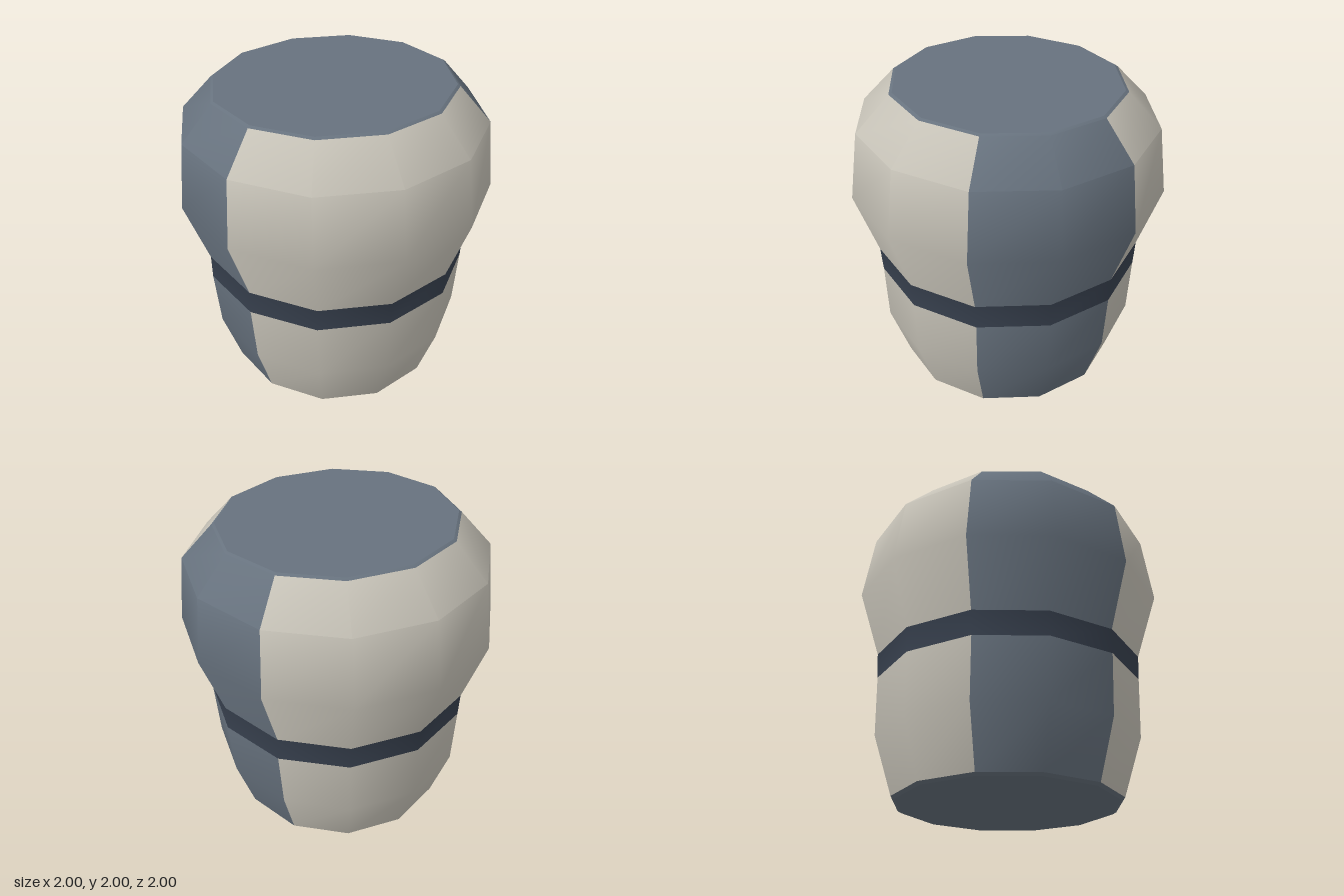
import * as THREE from 'three';
import { toCreasedNormals } from 'three/addons/utils/BufferGeometryUtils.js';

const SIDES = 12;

function material(name, color) {
  const m = new THREE.MeshStandardMaterial({ color });
  m.name = name;
  return m;
}

// One corner of a twelve-sided oval ring [y, x radius, z radius]; corner 0 lies on +x
function corner([y, rx, rz], i) {
  const a = ((i % SIDES) / SIDES) * Math.PI * 2;
  return [rx * Math.cos(a), y, rz * Math.sin(a)];
}

// Wall between stacked rings; pick(row, side) gives the material index of each facet
function wall(rings, materials, pick) {
  const position = rings.flatMap((r) => Array.from({ length: SIDES }, (_, i) => corner(r, i)).flat());
  const buckets = materials.map(() => []);
  for (let row = 0; row < rings.length - 1; row++) {
    for (let i = 0; i < SIDES; i++) {
      const j = (i + 1) % SIDES;
      const a = row * SIDES + i, b = row * SIDES + j;
      buckets[pick(row, i)].push(a, a + SIDES, b, b, a + SIDES, b + SIDES);
    }
  }
  const g = new THREE.BufferGeometry();
  g.setAttribute('position', new THREE.Float32BufferAttribute(position, 3));
  g.setIndex(buckets.flat());
  let start = 0;
  buckets.forEach((b, m) => {
    g.addGroup(start, b.length, m);
    start += b.length;
  });
  return new THREE.Mesh(toCreasedNormals(g, 0.7), materials);
}

// Flat end face on a ring
function cap(ring, mat, up) {
  const points = Array.from({ length: SIDES }, (_, i) => {
    const [x, , z] = corner(ring, i);
    return new THREE.Vector2(x, z);
  });
  const g = new THREE.ShapeGeometry(new THREE.Shape(points));
  g.rotateX(up ? -Math.PI / 2 : Math.PI / 2);
  g.translate(0, ring[0], 0);
  return new THREE.Mesh(g, mat);
}

export function createModel() {
  const group = new THREE.Group();
  const cream = material('cream', 0xc6c2b7);
  const slate = material('slate', 0x67727e);
  const navy = material('navy', 0x38414f);

  const rings = [
    [0.015, 0.715, 0.725],
    [0.38, 0.83, 0.845],
    [0.765, 0.86, 0.855],
    [0.925, 0.86, 0.865],
    [1.34, 1.0, 1.0],
    [1.77, 0.955, 0.935],
    [1.99, 0.76, 0.72],
  ];
  const top = [2, 0.745, 0.7];
  const bottom = [0, 0.69, 0.7];

  // Body: cream front and back, slate side panels, navy belt
  const isSide = (i) => [0, 5, 6, 11].includes(i);
  const body = wall(rings, [cream, slate, navy], (row, i) => (row === 2 ? 2 : isSide(i) ? 1 : 0));
  body.name = 'body';

  // Narrow bevels and flat end faces
  const topRim = wall([rings[6], top], [slate], () => 0);
  topRim.name = 'topRim';
  const bottomRim = wall([bottom, rings[0]], [slate], () => 0);
  bottomRim.name = 'bottomRim';
  const topCap = cap(top, slate, true);
  topCap.name = 'topCap';
  const bottomCap = cap(bottom, slate, false);
  bottomCap.name = 'bottomCap';

  group.add(body, topRim, bottomRim, topCap, bottomCap);
  return group;
}
